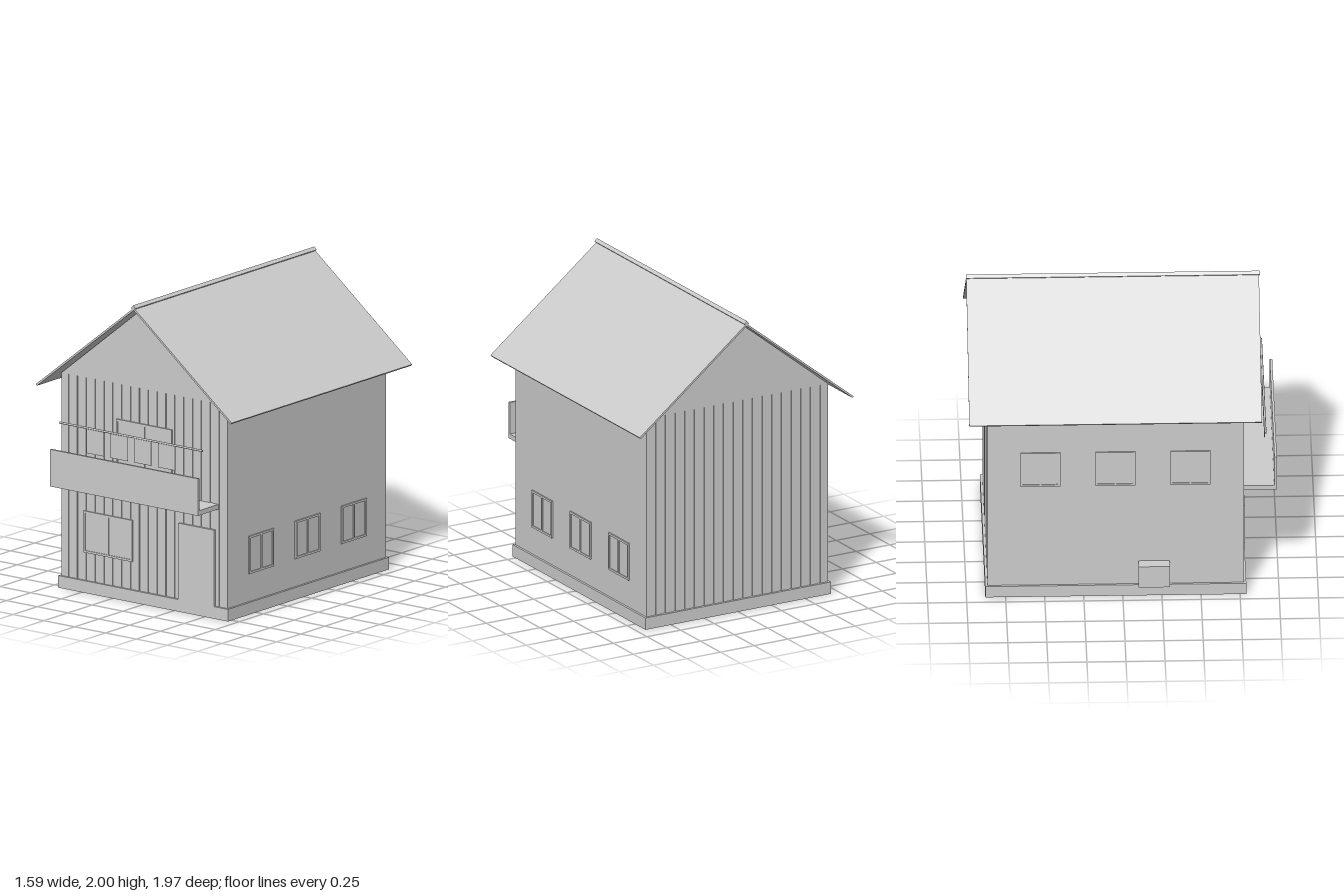
import * as THREE from 'three';

export function createModel() {
  const house = new THREE.Group();
  house.name = 'house';
  const grey = new THREE.MeshStandardMaterial({ color: 0xcccccc });
  grey.name = 'plain grey';

  const add = (name, geometry, parent = house) => {
    const mesh = new THREE.Mesh(geometry, grey);
    mesh.name = name;
    parent.add(mesh);
    return mesh;
  };
  // Box given by its limits on each axis
  const box = (name, x0, x1, y0, y1, z0, z1, parent) =>
    add(name, new THREE.BoxGeometry(x1 - x0, y1 - y0, z1 - z0), parent)
      .position.set((x0 + x1) / 2, (y0 + y1) / 2, (z0 + z1) / 2);
  // Outline in the front plane, extruded from z0 to z1
  const prism = (name, points, z0, z1, parent) => {
    const shape = new THREE.Shape(points.map(([x, y]) => new THREE.Vector2(x, y)));
    const geometry = new THREE.ExtrudeGeometry(shape, { depth: z1 - z0, bevelEnabled: false });
    add(name, geometry.translate(0, 0, z0), parent);
  };

  const W = 0.675, EAVE = 1.422, APEX = 1.963, FRONT = 0.775, BACK = -0.865, GROOVE = 0.006;

  // Foundation and walls
  box('foundation', -0.69, 0.69, 0, 0.08, -0.88, 0.79);
  prism('walls', [[-W, 0.08], [W, 0.08], [W, EAVE], [0, APEX], [-W, EAVE]], BACK + GROOVE, FRONT - GROOVE);

  // Vertical boards with narrow grooves, and a smooth gable above, at both ends
  const count = 19, gap = 0.016, width = (2 * W - gap * (count - 1)) / count;
  for (const [end, z0, z1] of [['front', FRONT - GROOVE, FRONT], ['back', BACK, BACK + GROOVE]]) {
    const cladding = new THREE.Group();
    cladding.name = end + 'Cladding';
    house.add(cladding);
    for (let i = 0; i < count; i++) {
      const x = -W + i * (width + gap);
      box('board', x, x + width, 0.08, EAVE, z0, z1, cladding);
    }
    prism('gable', [[-W, EAVE], [W, EAVE], [0, APEX]], z0, z1, cladding);
  }

  // Roof and ridge cap
  prism('roof', [[-0.787, 1.34], [0, 1.965], [0.787, 1.34], [0.795, 1.35], [0, 1.981], [-0.795, 1.35]], -0.985, 0.888);
  const ridge = add('ridgeCap', new THREE.BoxGeometry(0.0255, 0.0255, 1.88));
  ridge.rotation.z = Math.PI / 4;
  ridge.position.set(0, 1.982, -0.047);

  // Framed window with two panes, facing +z before it is turned
  const makeWindow = (name, w, h, x, y, z, turn = 0) => {
    const group = new THREE.Group();
    group.name = name;
    const t = 0.014, d = 0.01;
    box('glass', -w / 2 + t, w / 2 - t, -h / 2 + t, h / 2 - t, 0, 0.004, group);
    for (const s of [-1, 1]) {
      const sx = s * (w - t) / 2, sy = s * (h - t) / 2;
      box('frameSide', sx - t / 2, sx + t / 2, -h / 2, h / 2, 0, d, group);
      box('frameRail', -w / 2 + t, w / 2 - t, sy - t / 2, sy + t / 2, 0, d, group);
    }
    box('mullion', -t / 2, t / 2, -h / 2 + t, h / 2 - t, 0, d, group);
    group.position.set(x, y, z);
    group.rotation.y = turn;
    house.add(group);
  };
  makeWindow('groundWindow', 0.395, 0.275, -0.2925, 0.4025, FRONT);
  makeWindow('balconyWindow', 0.45, 0.37, 0, 1.005, FRONT);
  for (const z of [0.4325, -0.0475, -0.5275]) {
    makeWindow('leftWindow', 0.255, 0.25, W, 0.39, z, Math.PI / 2);
    makeWindow('rightWindow', 0.255, 0.25, -W, 0.945, z, -Math.PI / 2);
  }

  // Door and outdoor unit
  box('door', 0.285, 0.575, 0, 0.585, 0.76, 0.79);
  box('outdoorUnit', -0.75, -W, 0.095, 0.25, 0.1, 0.3);

  // Balcony with open ends
  box('balconyFloor', -0.6, 0.6, 0.725, 0.757, FRONT - GROOVE, 0.988);
  box('balconyPanel', -0.6, 0.6, 0.757, 0.97, 0.972, 0.988);

  // Drying rod and hanging cloths
  const rod = add('dryingRod', new THREE.CylinderGeometry(0.007, 0.007, 1.16, 12));
  rod.rotation.z = Math.PI / 2;
  rod.position.set(0, 1.136, 0.915);
  for (const x of [-0.29, -0.095, 0.095, 0.29]) {
    box('hangingCloth', x - 0.07, x + 0.07, 0.97, 1.134, 0.913, 0.917);
  }
  return house;
}
